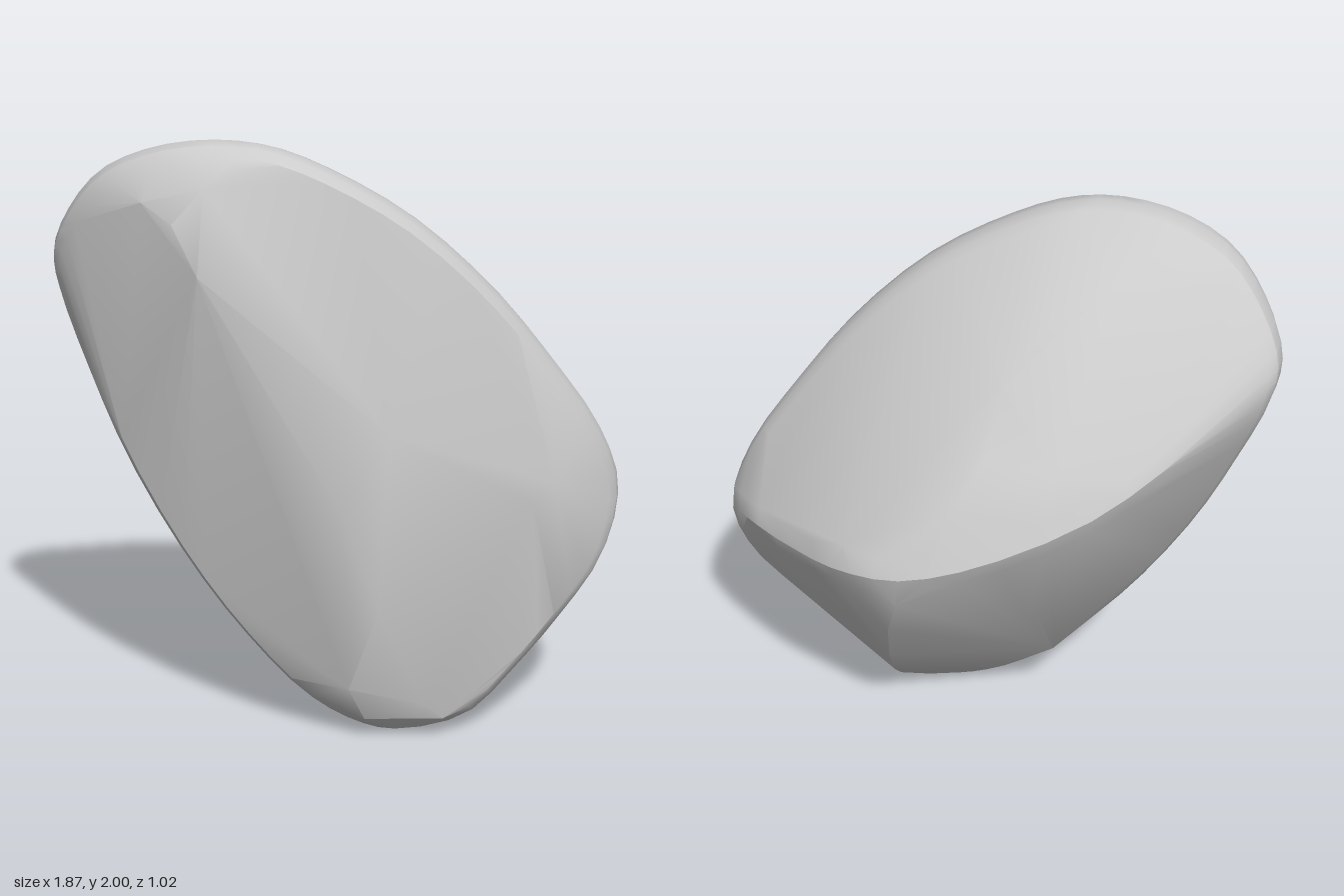
import * as THREE from 'three';
import { ConvexGeometry } from 'three/addons/geometries/ConvexGeometry.js';
import { toCreasedNormals } from 'three/addons/utils/BufferGeometryUtils.js';

const toVectors = (list) => list.map((p) => new THREE.Vector3(...p));
const smoothPath = (list, closed, count) =>
  new THREE.CatmullRomCurve3(toVectors(list), closed).getPoints(count);

// Outer rim of the boulder: [x, y, z] around the egg-shaped outline
const RIM = [
  [-0.38, 2.0, 0.3], [-0.2, 1.98, 0.3], [0, 1.9, 0.29], [0.25, 1.75, 0.27],
  [0.5, 1.52, 0.23], [0.7, 1.27, 0.18], [0.86, 1.03, 0.13], [0.93, 0.82, 0.1],
  [0.885, 0.6, 0.14], [0.75, 0.4, 0.19], [0.6, 0.22, 0.23], [0.44, 0.06, 0.26],
  [0.2, 0, 0.27], [0.06, 0.03, 0.27], [-0.1, 0.12, 0.26], [-0.3, 0.32, 0.24],
  [-0.5, 0.58, 0.21], [-0.7, 0.92, 0.17], [-0.83, 1.22, 0.13], [-0.92, 1.47, 0.1],
  [-0.935, 1.6, 0.12], [-0.87, 1.75, 0.18], [-0.75, 1.89, 0.24], [-0.58, 1.97, 0.28],
];

// Blunt ridge crossing the back from one end of the rim to the other
const BACK_RIDGE = [
  [0.905, 0.84, 0.01], [0.8, 0.88, -0.125], [0.6, 0.92, -0.305], [0.4, 0.97, -0.455],
  [0.2, 1.0, -0.51], [-0.05, 1.07, -0.485], [-0.4, 1.22, -0.375],
  [-0.65, 1.37, -0.2], [-0.85, 1.48, 0],
];

// Corners of the broad planes on the front
const FRONT = [
  [-0.5, 1.76, 0.455], [-0.6, 1.82, 0.41], [-0.42, 1.6, 0.48], [0.03, 0.84, 0.51],
  [0.18, 1.1, 0.487], [0.64, 0.84, 0.355], [0.71, 0.9, 0.325], [0.15, 0.5, 0.477],
  [0.05, 0.2, 0.435], [0.3, 0.14, 0.405], [0.1, 0.08, 0.4], [0.36, 0.08, 0.38],
  [-0.4, 1.87, 0.44], [-0.3, 1.93, 0.405], [0.32, 1.6, 0.355],
];

// Corners of the planes above the back ridge
const UPPER_BACK = [
  [-0.4, 1.84, 0.05], [-0.45, 1.6, -0.1], [-0.2, 1.72, -0.055], [-0.08, 1.57, -0.19],
  [-0.28, 1.36, -0.34], [-0.05, 1.38, -0.34], [0.05, 1.23, -0.43], [0.3, 1.42, -0.06],
  [0.4, 1.06, -0.43],
];

// Corners of the three planes below the back ridge
const LOWER_BACK = [
  [0.22, 0.87, -0.475], [0.28, 0.65, -0.345], [0.32, 0.4, -0.175], [0.34, 0.2, -0.02],
  [0.34, 0.1, 0.08], [0.25, 0.04, 0.16], [-0.19, 0.8, -0.26], [-0.22, 0.3, 0.08],
  [-0.41, 0.72, -0.03], [0.6, 0.5, -0.06],
];

export function createModel() {
  const group = new THREE.Group();
  group.name = 'boulder';
  const points = toVectors([...FRONT, ...UPPER_BACK, ...LOWER_BACK]);

  // Rounded rim: a small half-oval section swept around the outline
  for (const p of smoothPath(RIM, true, 64)) {
    for (let i = -2; i <= 2; i++) {
      const a = (i / 2) * 1.25;
      const k = 1 - 0.055 * (1 - Math.cos(a));
      points.push(new THREE.Vector3(p.x * k, 1 + (p.y - 1) * k, p.z + 0.09 * Math.sin(a)));
    }
  }

  // Rounded ridge: three close lines, the middle one standing proud
  for (const p of smoothPath(BACK_RIDGE, false, 20)) {
    for (const dy of [-0.06, 0, 0.06]) {
      points.push(new THREE.Vector3(p.x, p.y + dy, p.z + Math.abs(dy) * 0.4));
    }
  }

  const geometry = toCreasedNormals(new ConvexGeometry(points), 0.5);
  const rock = new THREE.Mesh(geometry, new THREE.MeshStandardMaterial({ color: 0xcccccc }));
  rock.name = 'rock';
  group.add(rock);
  return group;
}
